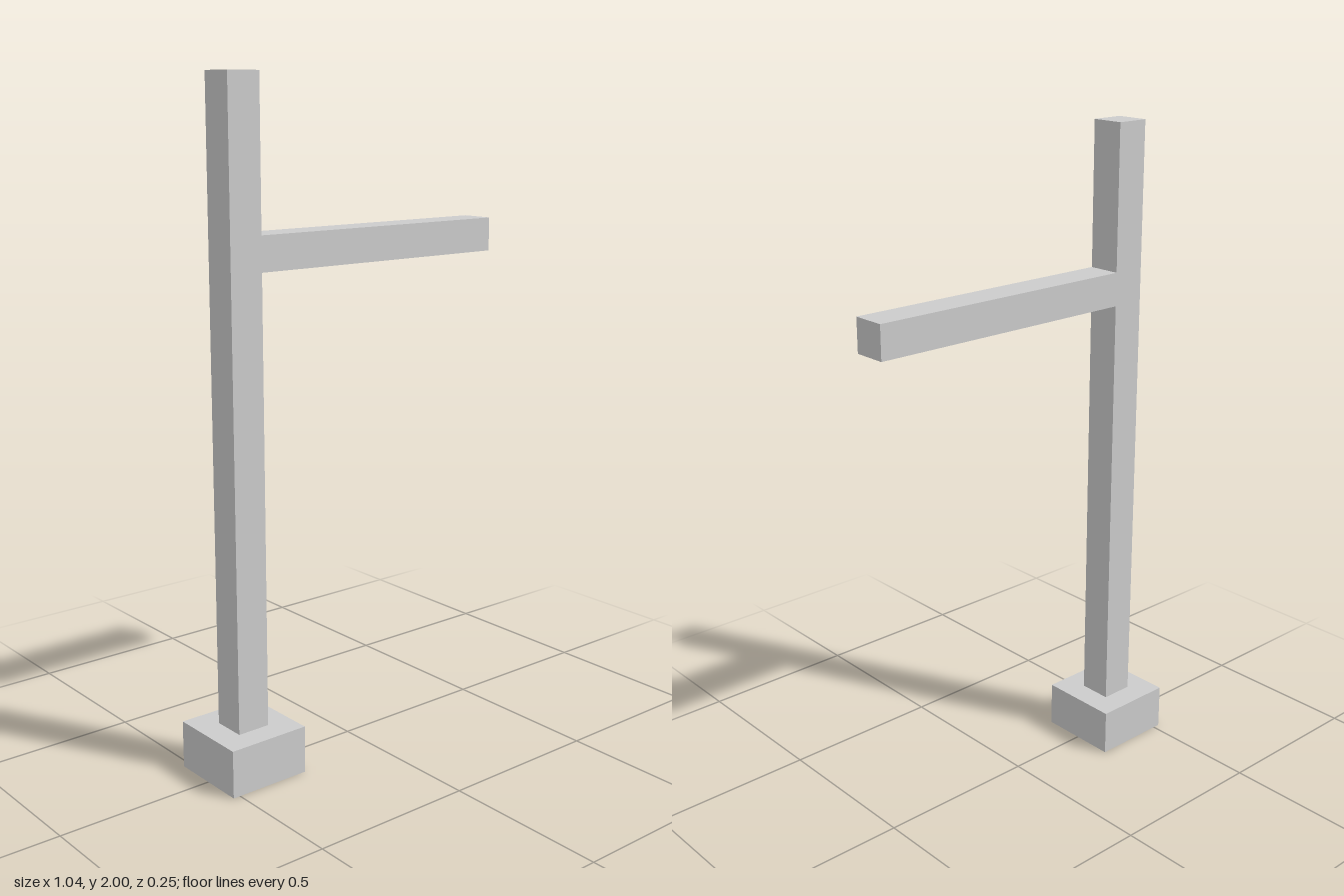
import * as THREE from 'three';

export function createModel() {
  const group = new THREE.Group();
  const grey = new THREE.MeshStandardMaterial({ color: 0xcccccc });
  grey.name = 'light grey';

  // Box given by its x and y extents and its depth, centred on z = 0
  const addBox = (name, x0, x1, y0, y1, depth) => {
    const mesh = new THREE.Mesh(new THREE.BoxGeometry(x1 - x0, y1 - y0, depth), grey);
    mesh.position.set((x0 + x1) / 2, (y0 + y1) / 2, 0);
    mesh.name = name;
    group.add(mesh);
  };

  addBox('base', -0.522, -0.267, 0, 0.143, 0.255);
  addBox('post', -0.446, -0.343, 0.143, 2, 0.103);
  addBox('arm', -0.343, 0.522, 1.466, 1.567, 0.103);

  return group;
}
